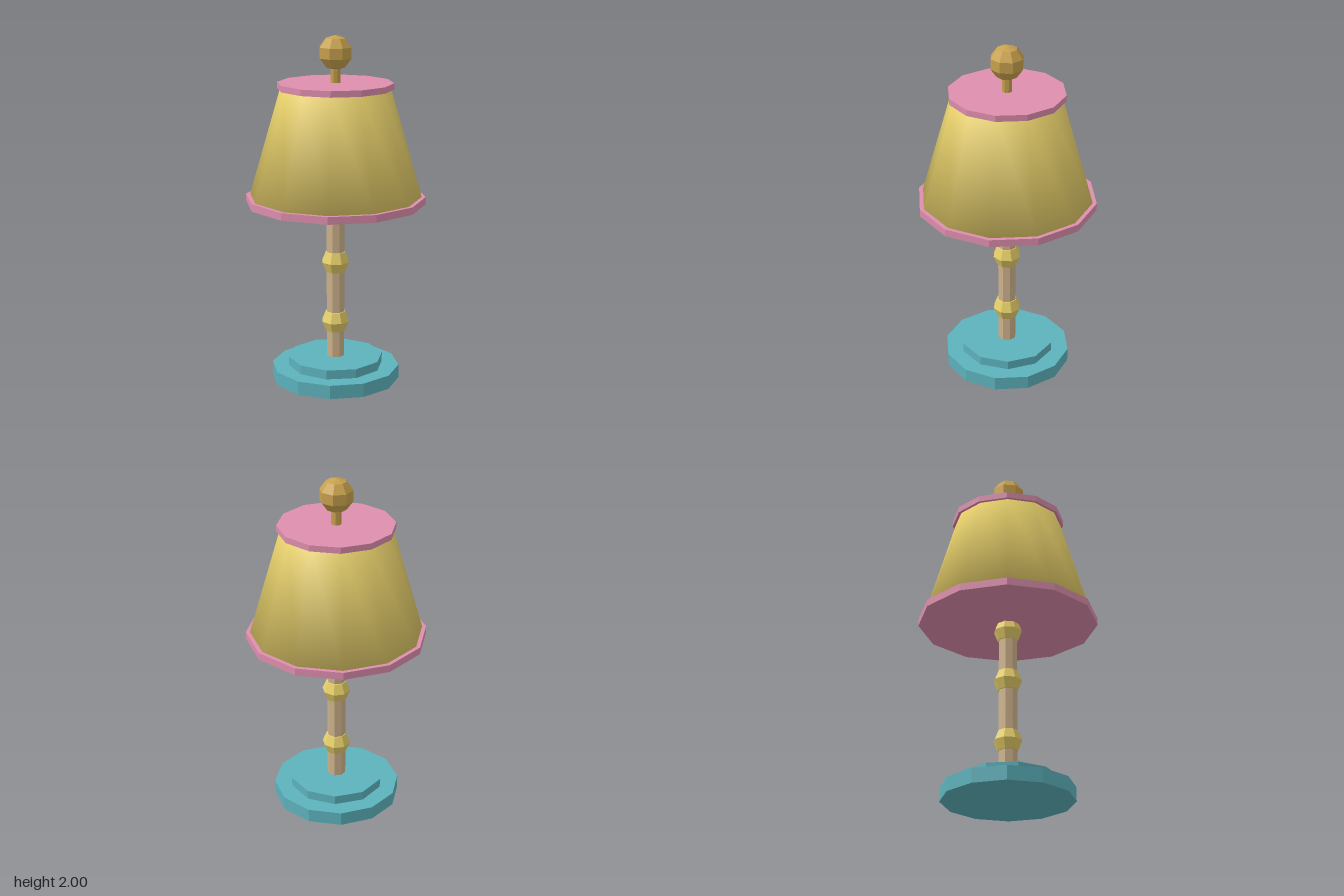
import * as THREE from 'three';

const material = (name, color, flatShading = true) => {
  const m = new THREE.MeshStandardMaterial({ color, flatShading });
  m.name = name;
  return m;
};

export function createModel() {
  const lamp = new THREE.Group();
  lamp.name = 'tableLamp';

  const teal = material('teal', 0x5db2bd);
  const tan = material('tan', 0xcfb38c);
  const gold = material('gold', 0xc8a14d);
  const pink = material('pink', 0xde8ead);
  const yellow = material('yellow', 0xe4cd69, false); // smooth for the shade

  const add = (name, geometry, mat, y = 0) => {
    const mesh = new THREE.Mesh(geometry, mat);
    mesh.name = name;
    mesh.position.y = y;
    lamp.add(mesh);
  };
  // Upright prism between two heights
  const prism = (name, r, y0, y1, sides, mat) =>
    add(name, new THREE.CylinderGeometry(r, r, y1 - y0, sides), mat, (y0 + y1) / 2);
  // Faceted ball with its own hard normals
  const ball = (name, r, y, rows, mat) => {
    const g = new THREE.SphereGeometry(r, 8, rows).toNonIndexed();
    g.computeVertexNormals();
    add(name, g, mat, y);
  };

  // Stepped base
  prism('baseLower', 0.37, 0, 0.08, 12, teal);
  prism('baseUpper', 0.275, 0.08, 0.133, 10, teal);

  // Pole with three beads
  prism('pole', 0.054, 0.133, 1.05, 8, tan);
  [0.343, 0.7, 1.005].forEach((y, i) => ball(`bead${i + 1}`, 0.082, y, 4, yellow));

  // Shade: closed cone with soft normals running over its rims
  const profile = [[0, 1.085], [0.491, 1.085], [0.31, 1.705], [0, 1.705]]
    .map(([r, y]) => new THREE.Vector2(r, y));
  add('shade', new THREE.LatheGeometry(profile, 12), yellow);

  // Shade trims
  prism('bottomTrim', 0.513, 1.048, 1.09, 12, pink);
  prism('topTrim', 0.328, 1.7, 1.735, 12, pink);

  // Finial
  prism('finialStem', 0.029, 1.735, 1.84, 8, gold);
  ball('finialBall', 0.098, 1.902, 5, gold);

  return lamp;
}
